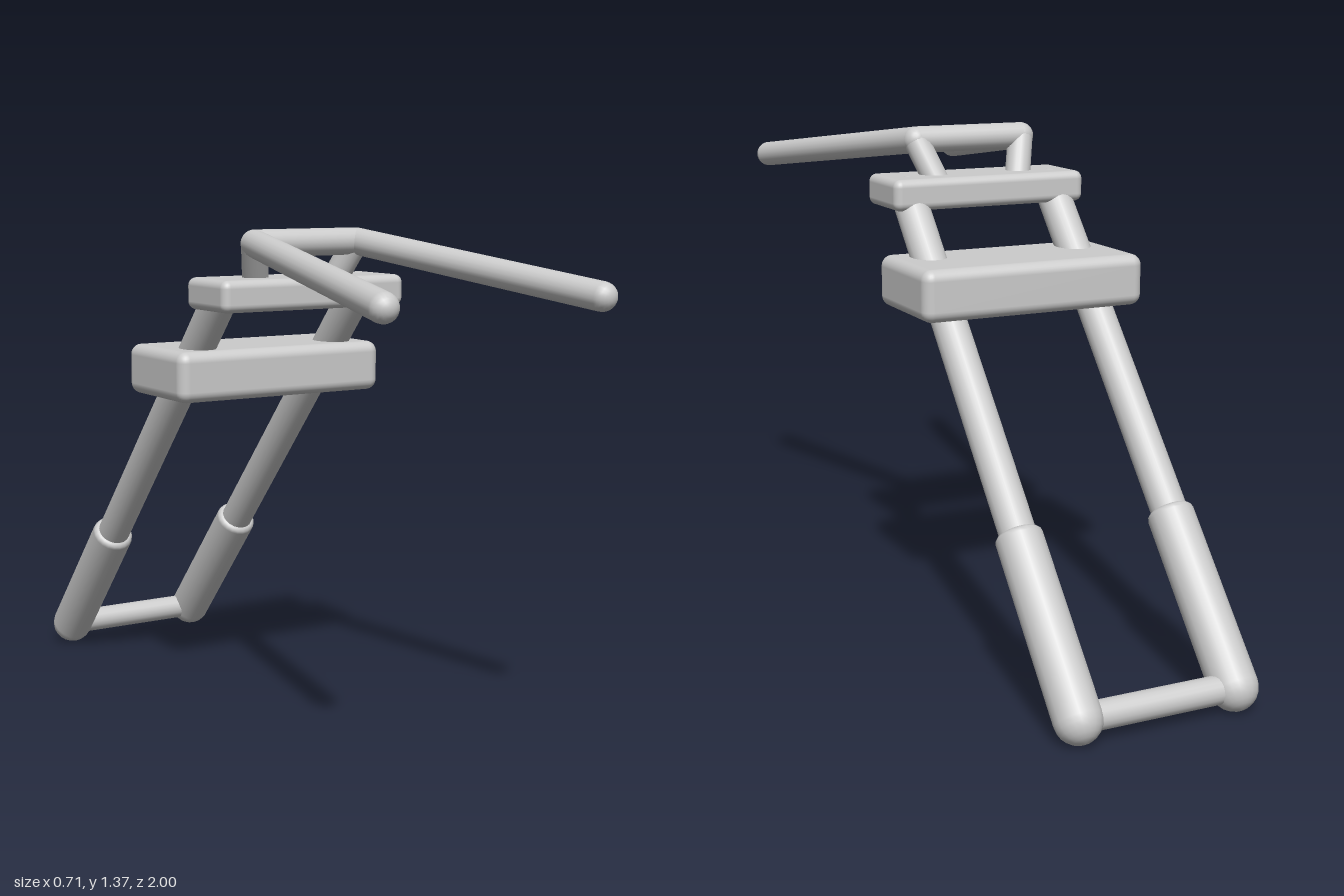
import * as THREE from 'three';
import { RoundedBoxGeometry } from 'three/addons/geometries/RoundedBoxGeometry.js';

const material = new THREE.MeshStandardMaterial({ color: 0xcccccc });
const V = (x, y, z) => new THREE.Vector3(x, y, z);
const UP = V(0, 1, 0);

export function createModel() {
  const model = new THREE.Group();

  const add = (name, geometry, position) => {
    const mesh = new THREE.Mesh(geometry, material);
    mesh.name = name;
    mesh.position.copy(position);
    model.add(mesh);
    return mesh;
  };

  // Round-ended rod whose end spheres are centred on a and b
  const rod = (name, a, b, radius) => {
    const mesh = add(name, new THREE.CapsuleGeometry(radius, a.distanceTo(b), 6, 20), a.clone().lerp(b, 0.5));
    mesh.quaternion.setFromUnitVectors(UP, b.clone().sub(a).normalize());
  };

  const block = (name, w, h, d, radius, position) =>
    add(name, new RoundedBoxGeometry(w, h, d, 4, radius), position);

  // Fork slider: domed foot, softly bevelled upper rim
  const slider = (name, foot, top, radius) => {
    const length = foot.distanceTo(top);
    const profile = [];
    for (let i = 0; i <= 6; i++) {
      const a = (i / 6) * Math.PI / 2;
      profile.push(new THREE.Vector2(radius * Math.sin(a), -radius * Math.cos(a)));
    }
    for (let i = 0; i <= 3; i++) {
      const a = (i / 3) * Math.PI / 2, bevel = 0.018;
      profile.push(new THREE.Vector2(radius - bevel * (1 - Math.cos(a)), length - bevel * (1 - Math.sin(a))));
    }
    profile.push(new THREE.Vector2(0, length));
    const mesh = add(name, new THREE.LatheGeometry(profile, 20), foot);
    mesh.quaternion.setFromUnitVectors(UP, top.clone().sub(foot).normalize());
  };

  for (const [side, s] of [['left', 1], ['right', -1]]) {
    // Raked fork leg
    const foot = V(s * 0.22, 0.068, -0.938);
    const head = V(s * 0.22, 1.205, 0.068);
    slider(`${side}ForkSlider`, foot, foot.clone().lerp(head, 0.323), 0.062);
    rod(`${side}ForkTube`, foot.clone().lerp(head, 0.25), head, 0.048);

    // Handlebar riser and grip
    const bend = V(s * 0.162, 1.343, 0.143);
    rod(`${side}Riser`, V(s * 0.118, 1.21, 0.075), bend, 0.036);
    rod(`${side}Handlebar`, bend, V(s * 0.32, 1.236, 0.963), 0.037);
  }

  // Cross members
  rod('axle', V(-0.2, 0.068, -0.938), V(0.2, 0.068, -0.938), 0.037);
  rod('handlebarCrossbar', V(-0.162, 1.343, 0.143), V(0.162, 1.343, 0.143), 0.037);

  // Clamps joining the two legs
  block('lowerClamp', 0.65, 0.14, 0.32, 0.03, V(0, 0.98, -0.13));
  block('upperClamp', 0.575, 0.086, 0.21, 0.022, V(0, 1.208, 0.094));

  return model;
}
